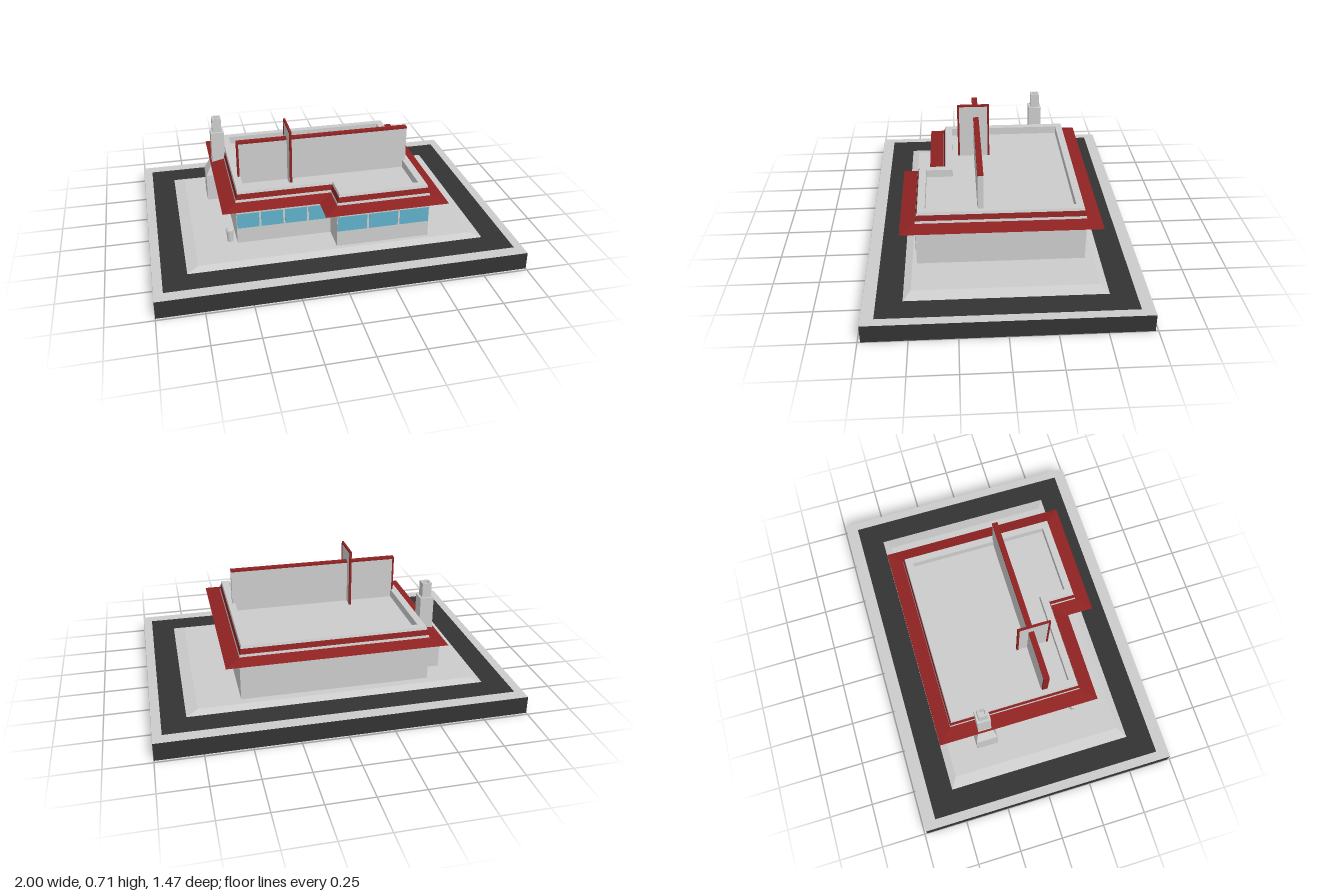
import * as THREE from 'three';

const mat = (color) => new THREE.MeshStandardMaterial({ color, flatShading: true });
const GREY = mat(0xcccccc), DARK = mat(0x333333), RED = mat(0x8f2222), GLASS = mat(0x5fb0c8);

// Joins loops of [x, y, z] corners (clockwise seen from above, listed bottom to top).
function loft(loops) {
  const pos = [];
  for (let k = 0; k < loops.length - 1; k++) {
    const lo = loops[k], hi = loops[k + 1], n = lo.length;
    for (let i = 0; i < n; i++) {
      const j = (i + 1) % n;
      pos.push(...lo[i], ...hi[j], ...lo[j], ...lo[i], ...hi[i], ...hi[j]);
    }
  }
  const geo = new THREE.BufferGeometry();
  geo.setAttribute('position', new THREE.Float32BufferAttribute(pos, 3));
  geo.computeVertexNormals();
  return geo;
}

// Rectangular loop from its limits
const rect = (x0, x1, z0, z1, y) => [[x0, y, z0], [x1, y, z0], [x1, y, z1], [x0, y, z1]];
const square = (x, z, h, y) => rect(x - h, x + h, z - h, z + h, y);

// L-shaped plan of the building: x, z and the outward direction of each corner
const PLAN = [
  [-0.525, -0.445, -1, -1], [0.52, -0.445, 1, -1], [0.52, 0.465, 1, 1],
  [0, 0.465, -1, 1], [0, 0.315, -1, 1], [-0.525, 0.315, -1, 1],
];
const planLoop = (offset, y) => PLAN.map(([x, z, dx, dz]) => [x + dx * offset, y, z + dz * offset]);
const planBand = (...profile) => loft(profile.map(([o, y]) => planLoop(o, y)));

// Flat shape facing up, with an optional hole
function flat(loop, hole) {
  const pts = (l) => l.map(([x, , z]) => new THREE.Vector2(x, -z));
  const shape = new THREE.Shape(pts(loop));
  if (hole) shape.holes.push(new THREE.Path(pts(hole)));
  return new THREE.ShapeGeometry(shape).rotateX(-Math.PI / 2).translate(0, loop[0][1], 0);
}

export function createModel() {
  const model = new THREE.Group();
  const add = (name, geo, material, parent = model) => {
    const mesh = new THREE.Mesh(geo, material);
    mesh.name = name;
    parent.add(mesh);
    return mesh;
  };
  const group = (name) => {
    const g = new THREE.Group();
    g.name = name;
    model.add(g);
    return g;
  };
  // Box from its limits
  const box = (name, x0, x1, y0, y1, z0, z1, material, parent) => add(name,
    new THREE.BoxGeometry(x1 - x0, y1 - y0, z1 - z0)
      .translate((x0 + x1) / 2, (y0 + y1) / 2, (z0 + z1) / 2), material, parent);

  // Ground slab, road ring and raised pavement with sloped kerbs
  box('baseSlab', -1, 1, 0, 0.1, -0.735, 0.735, [DARK, DARK, GREY, GREY, DARK, DARK]);
  add('road', flat(rect(-0.95, 0.95, -0.667, 0.667, 0.101), rect(-0.818, 0.818, -0.53, 0.53, 0.101)), DARK);
  const paveTop = rect(-0.755, 0.755, -0.49, 0.49, 0.118);
  add('kerb', loft([rect(-0.818, 0.818, -0.53, 0.53, 0.1), paveTop]), GREY);
  add('pavement', flat(paveTop), GREY);

  // Walls, pointed eave, striped fascia, parapet and sunken roof deck
  const building = group('building');
  add('walls', planBand([0, 0.115], [0, 0.336]), GREY, building);
  add('eave', planBand([0, 0.336], [0.08, 0.354], [0, 0.371]), RED, building);
  add('lowerFascia', planBand([0, 0.371], [-0.003, 0.385]), GREY, building);
  add('fasciaStripe', planBand([-0.003, 0.385], [-0.01, 0.415]), RED, building);
  add('parapet', planBand([-0.01, 0.415], [-0.014, 0.43], [-0.054, 0.43], [-0.054, 0.385]), GREY, building);
  add('roofDeck', flat(planLoop(-0.054, 0.385)), GREY, building);

  // Front window strips
  const windows = group('windows');
  const paneRow = (x0, x1, count, z) => {
    const gap = 0.011, w = (x1 - x0 - gap * (count - 1)) / count;
    for (let i = 0; i < count; i++) {
      const x = x0 + i * (w + gap);
      box('windowPane', x, x + w, 0.21, 0.298, z - 0.004, z + 0.002, GLASS, windows);
    }
  };
  paneRow(-0.522, -0.003, 4, 0.315);
  paneRow(0.003, 0.517, 3, 0.465);

  // Long roof fin, trimmed on top and at its right end
  const longFin = group('longFin');
  box('finPanel', -0.475, 0.483, 0.38, 0.626, 0.102, 0.132, GREY, longFin);
  box('finTopTrim', -0.485, 0.483, 0.626, 0.637, 0.101, 0.133, RED, longFin);
  box('finEndTrim', -0.485, -0.475, 0.38, 0.626, 0.101, 0.133, RED, longFin);

  // Tall cross fin, trimmed all round
  const crossFin = group('crossFin');
  box('finPanel', -0.207, -0.199, 0.38, 0.705, 0.05, 0.215, GREY, crossFin);
  box('finTopTrim', -0.209, -0.197, 0.704, 0.715, 0.039, 0.226, RED, crossFin);
  for (const z of [0.039, 0.215]) {
    box('finSideTrim', -0.209, -0.197, 0.38, 0.704, z, z + 0.011, RED, crossFin);
  }

  // Chimney: wide hearth with sloped shoulders, stepped stack and open flue
  const chimney = group('chimney');
  add('hearth', loft([
    rect(-0.635, -0.515, -0.325, -0.202, 0.115), rect(-0.635, -0.515, -0.325, -0.202, 0.278),
    rect(-0.591, -0.515, -0.301, -0.227, 0.362),
  ]), GREY, chimney);
  const cx = -0.553, cz = -0.264;
  add('stack', loft([
    square(cx, cz, 0.038, 0.35), square(cx, cz, 0.038, 0.541), square(cx, cz, 0.026, 0.541),
    square(cx, cz, 0.026, 0.625), square(cx, cz, 0.015, 0.625), square(cx, cz, 0.015, 0.56),
    square(cx, cz, 0, 0.56),
  ]), GREY, chimney);

  // Litter bin beside the right wall
  const bin = group('litterBin');
  bin.position.set(-0.56, 0.118, 0.28);
  add('binBody', new THREE.CylinderGeometry(0.02, 0.017, 0.066, 12).translate(0, 0.033, 0), GREY, bin);
  add('binRim', new THREE.CylinderGeometry(0.024, 0.024, 0.008, 12).translate(0, 0.068, 0), GREY, bin);
  add('binLid', new THREE.CylinderGeometry(0.015, 0.022, 0.01, 12).translate(0, 0.077, 0), GREY, bin);

  return model;
}
